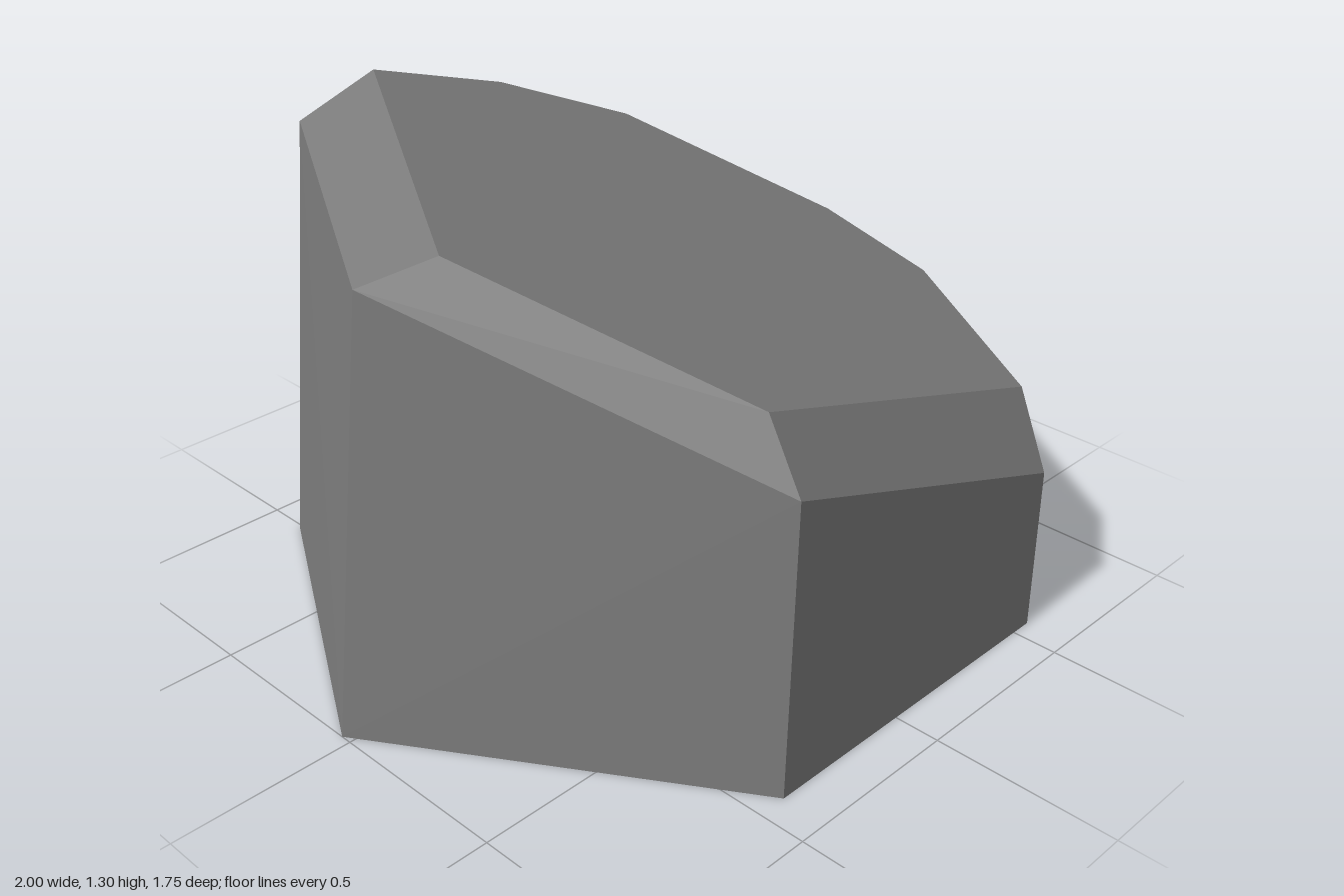
import * as THREE from 'three';
import { ConvexGeometry } from 'three/addons/geometries/ConvexGeometry.js';

// Faceted boulder: the hull around four rings of corners
export function createModel() {
  const group = new THREE.Group();
  group.name = 'boulder';

  const stone = new THREE.MeshStandardMaterial({ color: 0x7c7c7c, flatShading: true });
  stone.name = 'stone grey';

  // Flat base outline
  const base = [
    [-1, 0, -0.03], [-0.42, 0, 0.875], [0.56, 0, 0.875], [1, 0, 0.115],
    [0.99, 0, -0.075], [0.56, 0, -0.82], [-0.51, 0, -0.875],
  ];
  // Upper corners of the walls, where the bevels start
  const shoulder = [
    [-0.91, 1.18, 0.03], [-0.405, 0.795, 0.875], [0.56, 0.46, 0.875],
    [0.56, 0.78, -0.82], [-0.425, 1.22, -0.82],
  ];
  // Outline of the sloping top
  const crown = [
    [-0.18, 1.30, -0.82], [-0.75, 1.24, 0.13], [-0.38, 0.955, 0.755],
    [0.635, 0.627, 0.737], [0.96, 0.67, 0.175], [0.937, 0.767, -0.163],
    [0.63, 1.005, -0.69], [0.26, 1.16, -0.82],
  ];

  const corners = [...base, ...shoulder, ...crown].map((p) => new THREE.Vector3(...p));
  const rock = new THREE.Mesh(new ConvexGeometry(corners), stone);
  rock.name = 'rock';
  group.add(rock);
  return group;
}
